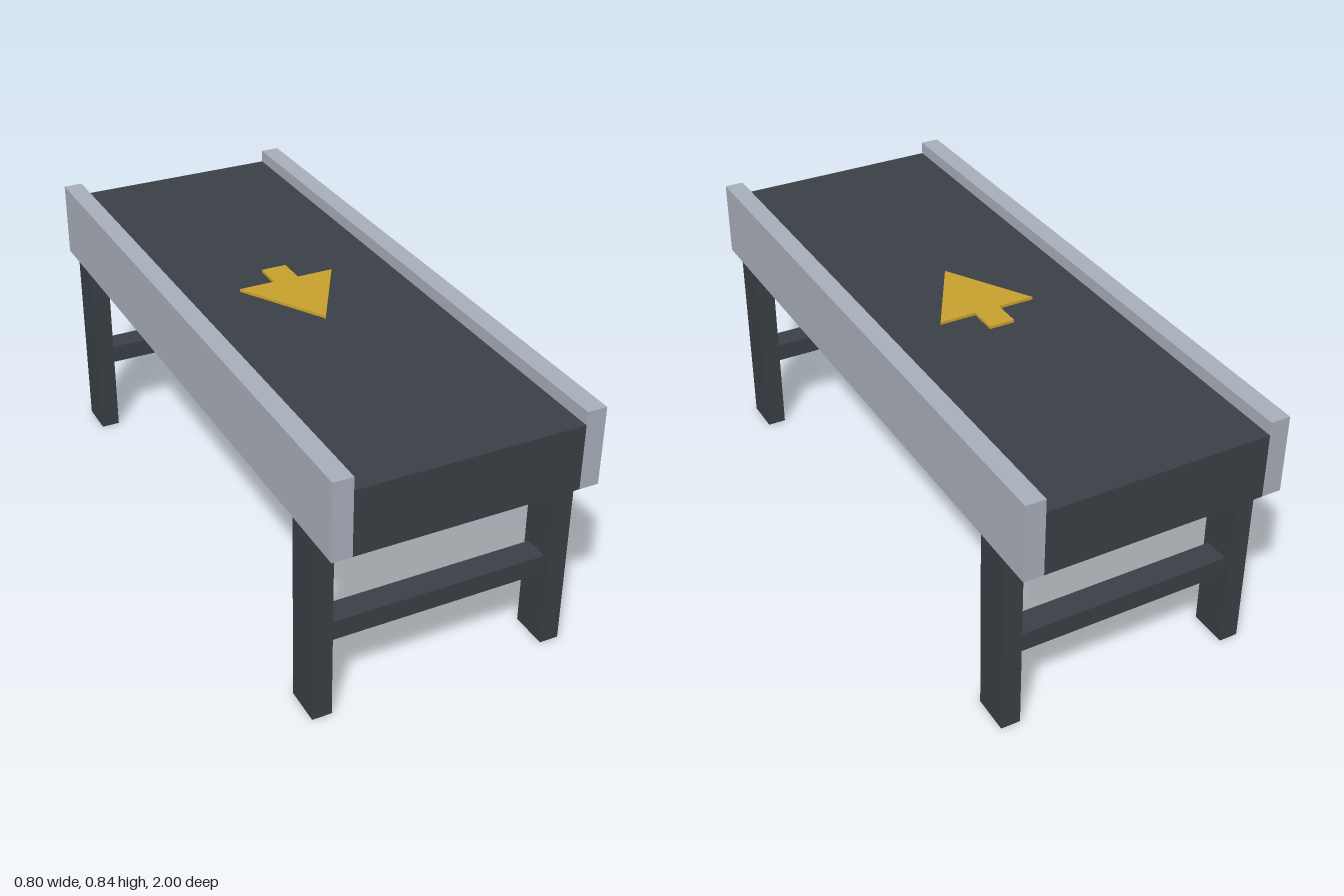
import * as THREE from 'three';

const darkMetal = new THREE.MeshStandardMaterial({ color: 0x3a4046 });
darkMetal.name = 'dark grey';
const railMetal = new THREE.MeshStandardMaterial({ color: 0xaab0bc });
railMetal.name = 'light grey';
const arrowPaint = new THREE.MeshStandardMaterial({ color: 0xc9a22e });
arrowPaint.name = 'gold';

export function createModel() {
  const model = new THREE.Group();
  model.name = 'conveyor';

  // Box given by its size and the position of its centre
  const box = (name, material, [w, h, d], [x, y, z]) => {
    const mesh = new THREE.Mesh(new THREE.BoxGeometry(w, h, d), material);
    mesh.name = name;
    mesh.position.set(x, y, z);
    model.add(mesh);
  };

  // Belt between two side rails
  box('belt', darkMetal, [0.68, 0.2, 2], [0, 0.7, 0]);
  for (const [side, sx] of [['left', 1], ['right', -1]]) {
    box(`${side}Rail`, railMetal, [0.06, 0.24, 2], [sx * 0.37, 0.72, 0]);
  }

  // Leg frames, each a pair of legs joined by a crossbar
  for (const [end, sz] of [['front', 1], ['back', -1]]) {
    box(`${end}LeftLeg`, darkMetal, [0.06, 0.6, 0.12], [0.37, 0.3, sz * 0.84]);
    box(`${end}RightLeg`, darkMetal, [0.06, 0.6, 0.12], [-0.37, 0.3, sz * 0.84]);
    box(`${end}Crossbar`, darkMetal, [0.68, 0.06, 0.08], [0, 0.27, sz * 0.84]);
  }

  // Direction arrow lying on the belt, pointing to the front
  const outline = new THREE.Shape([
    [0, -0.178], [0.155, 0.09], [0.04, 0.09], [0.04, 0.18],
    [-0.04, 0.18], [-0.04, 0.09], [-0.155, 0.09],
  ].map(([x, y]) => new THREE.Vector2(x, y)));
  const arrowGeometry = new THREE.ExtrudeGeometry(outline, { depth: 0.009, bevelEnabled: false });
  arrowGeometry.rotateX(-Math.PI / 2);
  const arrow = new THREE.Mesh(arrowGeometry, arrowPaint);
  arrow.name = 'directionArrow';
  arrow.position.y = 0.8;
  model.add(arrow);

  return model;
}
